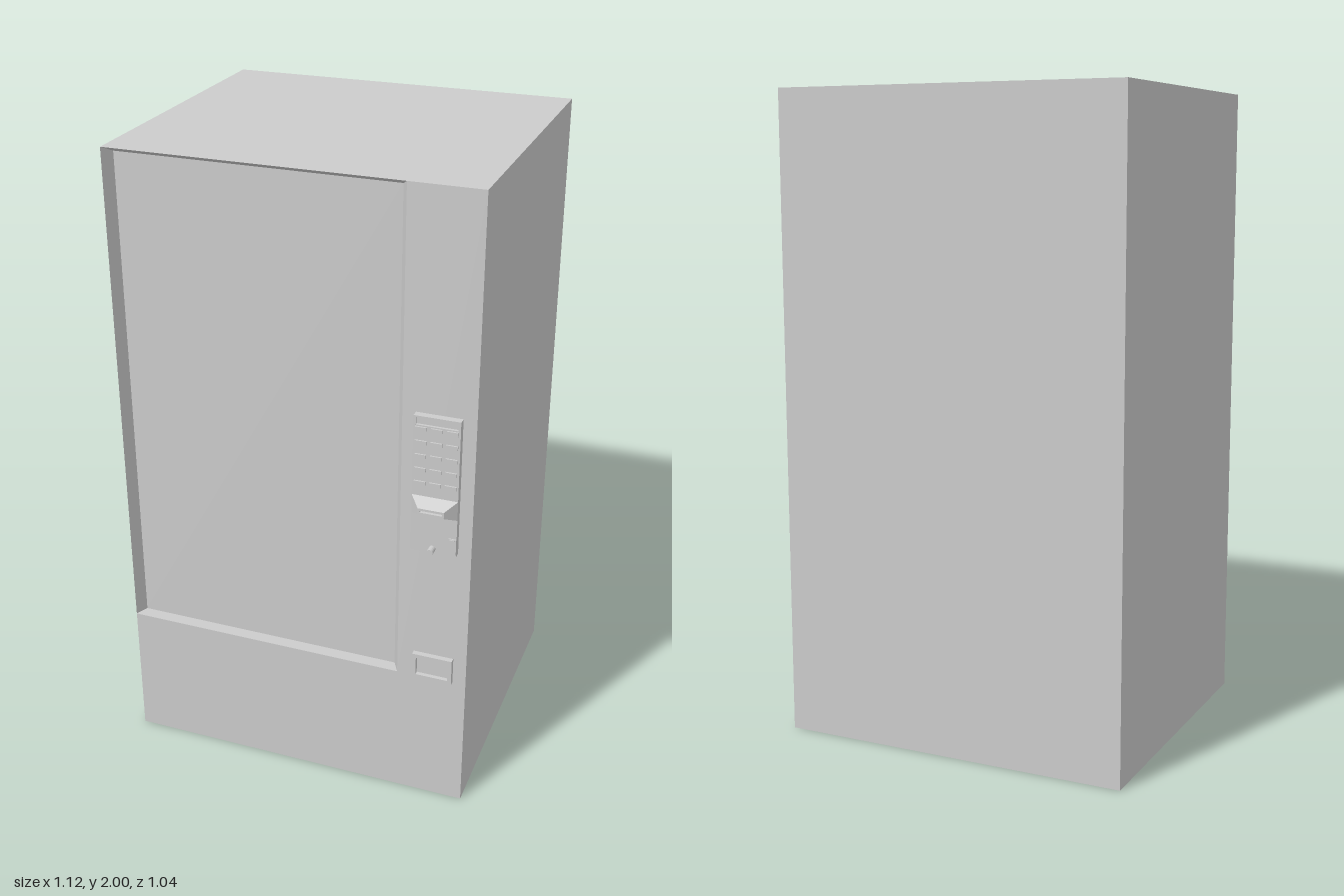
import * as THREE from 'three';

const material = new THREE.MeshStandardMaterial({ color: 0xcccccc, flatShading: true });

// Geometry from four-cornered faces, corners counter-clockwise from outside
function quads(faces) {
  const pos = [];
  for (const [a, b, c, d] of faces) pos.push(...a, ...b, ...c, ...a, ...c, ...d);
  const g = new THREE.BufferGeometry();
  g.setAttribute('position', new THREE.Float32BufferAttribute(pos, 3));
  g.computeVertexNormals();
  return g;
}

// Rectangle corners at depth z, counter-clockwise seen from the front
const rect = (x0, x1, y0, y1, z) => [[x0, y0, z], [x1, y0, z], [x1, y1, z], [x0, y1, z]];

// Four faces joining a rear rectangle to a front rectangle, facing outward
const skirt = (rear, front) => rear.map((p, i) => {
  const j = (i + 1) % 4;
  return [p, rear[j], front[j], front[i]];
});

// Plate with a rectangular opening, extruded from z0 to z1
function framePlate([x0, x1, y0, y1], [hx0, hx1, hy0, hy1], z0, z1) {
  const toV = (r) => r.map(([x, y]) => new THREE.Vector2(x, y));
  const shape = new THREE.Shape(toV(rect(x0, x1, y0, y1, 0)));
  shape.holes.push(new THREE.Path(toV(rect(hx0, hx1, hy0, hy1, 0)).reverse()));
  return new THREE.ExtrudeGeometry(shape, { depth: z1 - z0, bevelEnabled: false }).translate(0, 0, z0);
}

export function createModel() {
  const model = new THREE.Group();
  model.name = 'vendingMachine';

  const add = (name, geometry, parent = model) => {
    const mesh = new THREE.Mesh(geometry, material);
    mesh.name = name;
    parent.add(mesh);
    return mesh;
  };
  const box = (name, x0, x1, y0, y1, z0, z1, parent) =>
    add(name, new THREE.BoxGeometry(x1 - x0, y1 - y0, z1 - z0)
      .translate((x0 + x1) / 2, (y0 + y1) / 2, (z0 + z1) / 2), parent);

  // Cabinet shell with lower front and control column
  const W = 0.558, back = -0.52, front = 0.458, sill = 0.44, column = 0.34;
  const rear = rect(-W, W, 0, 2, back);
  add('cabinet', quads([
    ...skirt(rear, rect(-W, W, 0, 2, front)),
    [...rear].reverse(),
    rect(-W, W, 0, sill, front),
    rect(column, W, sill, 2, front),
  ]));

  // Display window set back behind splayed reveals and a level sill
  const opening = rect(-W, column, sill, 2, front);
  const pane = rect(-0.54, 0.318, sill, 1.98, 0.418);
  add('windowReveal', quads(skirt(opening, pane)));
  add('windowPane', quads([pane]));

  // Control panel with a sunken display
  const controls = new THREE.Group();
  controls.name = 'controlPanel';
  model.add(controls);
  add('panelPlate', framePlate([0.38, 0.518, 0.905, 1.34], [0.387, 0.511, 1.312, 1.333], front, 0.48), controls);
  add('displayScreen', quads([rect(0.387, 0.511, 1.312, 1.333, 0.472)]), controls);

  // Keypad: five rows of three keys
  for (let row = 0; row < 5; row++) {
    for (let col = 0; col < 3; col++) {
      const x = 0.403 + col * 0.046, y = 1.302 - row * 0.043;
      box('key', x - 0.017, x + 0.017, y - 0.006, y + 0.006, 0.479, 0.485, controls);
    }
  }

  // Banknote acceptor: tapered snout with a dark slit
  const base = rect(0.38, 0.518, 1.027, 1.088, 0.48);
  const lip = rect(0.41, 0.488, 1.047, 1.067, 0.517);
  const slit = rect(0.416, 0.482, 1.054, 1.06, 0.517);
  const slitEnd = rect(0.416, 0.482, 1.054, 1.06, 0.5);
  add('noteAcceptor', quads([
    ...skirt(base, lip), ...skirt(lip, slit), ...skirt(slit, slitEnd), slitEnd,
  ]), controls);

  // Coin button and coin slot plate
  add('coinButton', new THREE.CylinderGeometry(0.01, 0.01, 0.027, 16)
    .rotateX(Math.PI / 2).translate(0.446, 0.919, 0.4925), controls);
  box('coinSlotPlate', 0.494, 0.518, 0.912, 0.964, 0.479, 0.484, controls);
  box('coinSlotRidge', 0.498, 0.514, 0.958, 0.962, 0.483, 0.487, controls);

  // Coin return tray: raised frame around a recessed flap
  const tray = new THREE.Group();
  tray.name = 'coinReturn';
  model.add(tray);
  add('coinReturnFrame', framePlate([0.392, 0.517, 0.444, 0.531], [0.404, 0.505, 0.458, 0.519], front, 0.475), tray);
  add('coinReturnFlap', quads([rect(0.404, 0.505, 0.458, 0.519, 0.462)]), tray);

  return model;
}
